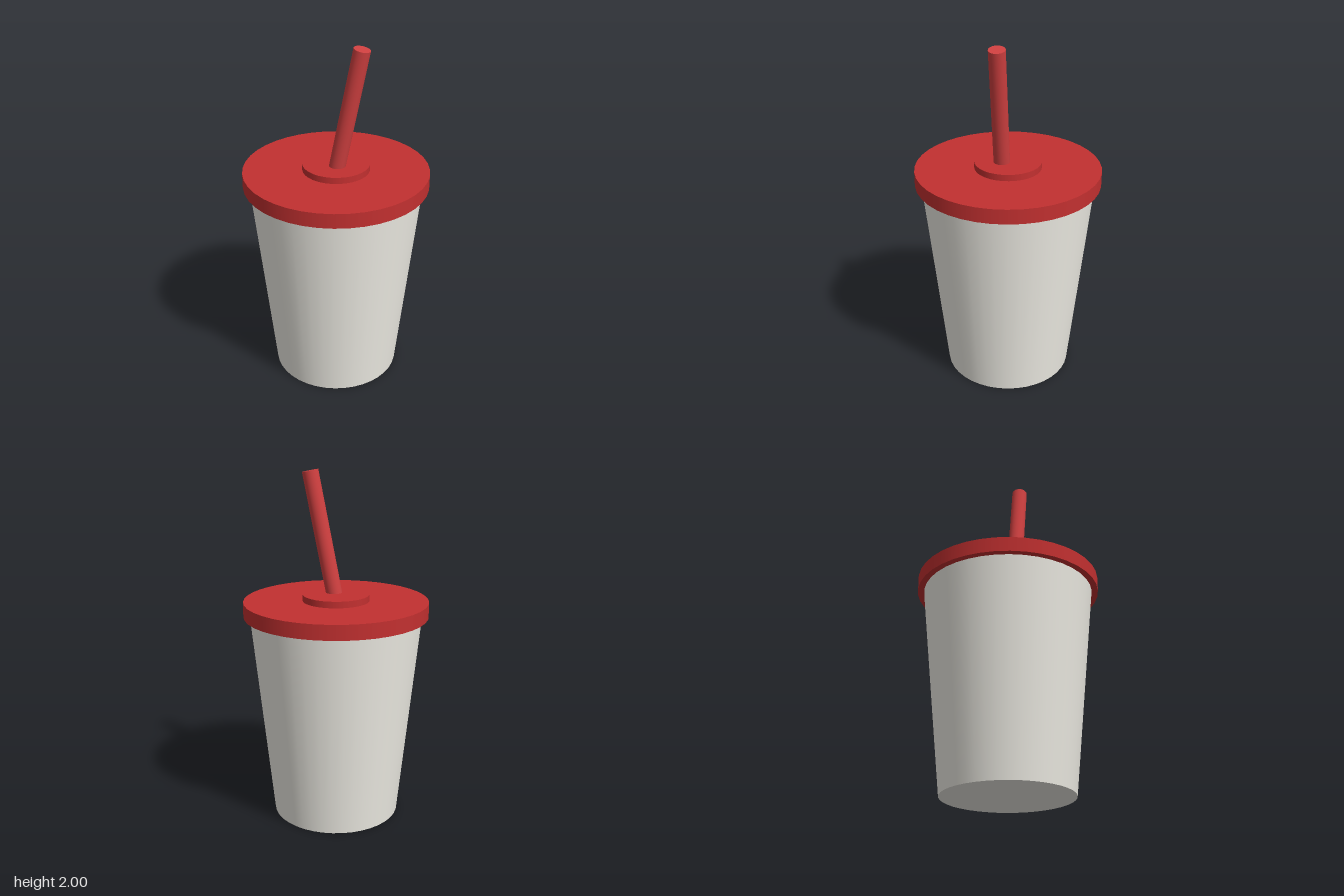
import * as THREE from 'three';

export function createModel() {
  const group = new THREE.Group();
  const cream = new THREE.MeshStandardMaterial({ color: 0xf0eee6 });
  const red = new THREE.MeshStandardMaterial({ color: 0xc23030 });
  const lightRed = new THREE.MeshStandardMaterial({ color: 0xd04040 });

  // Upright closed cylinder or cone between two heights
  function addRound(name, rBottom, rTop, y0, y1, sides, material) {
    const mesh = new THREE.Mesh(new THREE.CylinderGeometry(rTop, rBottom, y1 - y0, sides), material);
    mesh.name = name;
    mesh.position.y = (y0 + y1) / 2;
    group.add(mesh);
    return mesh;
  }

  addRound('cup', 0.367, 0.49, 0, 1.2, 40, cream);
  addRound('lid', 0.525, 0.525, 1.19, 1.275, 40, red);
  addRound('lidCentre', 0.19, 0.19, 1.27, 1.312, 32, red);

  // Straw leaning to the left, its lower end hidden in the lid
  const tilt = 0.195;
  const length = 0.75;
  const straw = addRound('straw', 0.046, 0.046, 0, length, 24, lightRed);
  straw.position.set(0.153 - Math.sin(tilt) * length / 2, 1.991 - Math.cos(tilt) * length / 2, 0.032);
  straw.rotation.z = -tilt;

  return group;
}
